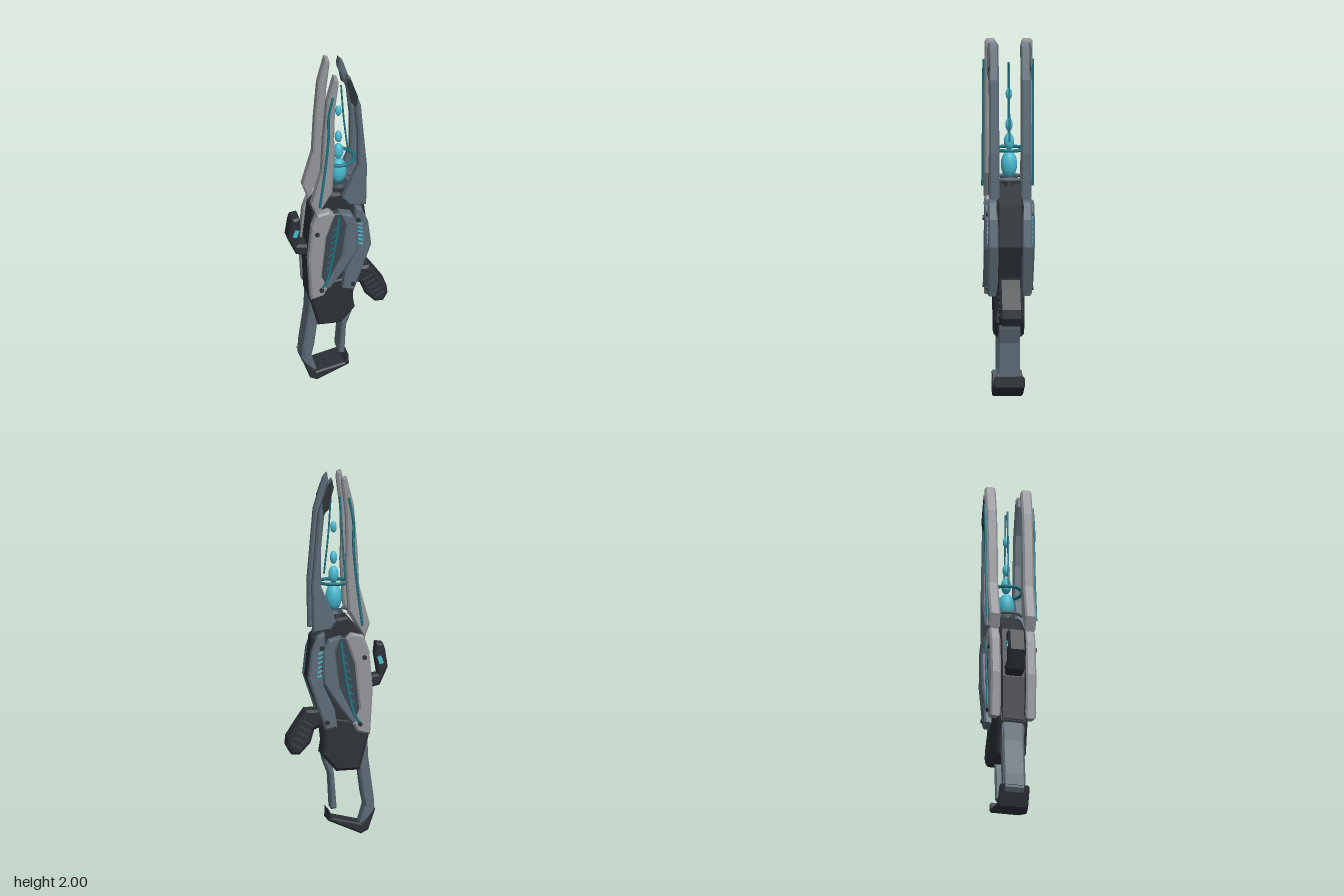
import * as THREE from 'three';

const mat = (name, color) => {
  const m = new THREE.MeshStandardMaterial({ color });
  m.name = name;
  return m;
};

export function createModel() {
  const root = new THREE.Group();
  root.name = 'energyLauncher';
  const pale = mat('paleGrey', 0x92959a), slate = mat('slate', 0x5b6a76), dark = mat('charcoal', 0x2b3036);
  const panel = mat('darkSlate', 0x3b454e), teal = mat('teal', 0x1c7482), cyan = mat('cyan', 0x46b9cf);

  const add = (name, geo, material) => {
    const mesh = new THREE.Mesh(geo, material);
    mesh.name = name;
    root.add(mesh);
    return mesh;
  };
  // Bevelled slab with an xy outline between two depths
  const slab = (name, pts, z0, z1, bevel, material) => {
    const shape = new THREE.Shape(pts.map(p => new THREE.Vector2(p[0], p[1])));
    const geo = new THREE.ExtrudeGeometry(shape, {
      depth: z1 - z0 - 2 * bevel, bevelEnabled: bevel > 0, bevelThickness: bevel,
      bevelSize: bevel, bevelOffset: -bevel, bevelSegments: 1,
    });
    geo.translate(0, 0, z0 + bevel);
    return add(name, geo, material);
  };
  // The same slab on the front and the back
  const pair = (name, pts, z0, z1, bevel, material) => {
    slab(name + 'Front', pts, z0, z1, bevel, material);
    slab(name + 'Back', pts, -z1, -z0, bevel, material);
  };
  const tube = (name, pts, r, material) => {
    const curve = new THREE.CatmullRomCurve3(pts.map(p => new THREE.Vector3(...p)));
    return add(name, new THREE.TubeGeometry(curve, 32, r, 8), material);
  };

  // Core body
  slab('body', [[-.055, 1.21], [.01, 1.2], [.145, 1.1], [.17, .87], [.1, .68], [.08, .5], [.09, .44],
    [.01, .35], [-.12, .355], [-.17, .55], [-.18, .8], [-.15, 1.1]], -.075, .075, .015, dark);
  slab('lowerBody', [[-.165, .62], [.085, .66], [.08, .5], [.09, .44], [.01, .35], [-.12, .355], [-.168, .54]],
    -.083, .083, .015, dark);

  // Four prongs
  pair('palePronge'.slice(0, 9), [[-.04, 2], [-.018, 1.99], [-.014, 1.96], [-.035, 1.79], [-.04, 1.6], [-.035, 1.5],
    [-.05, 1.25], [-.14, 1.1], [-.168, 1.18], [-.11, 1.39], [-.1, 1.6], [-.08, 1.84]], .07, .131, .01, pale);
  pair('slateProng', [[.04, 1.99], [.062, 1.965], [.115, 1.79], [.14, 1.5], [.15, 1.39], [.145, 1.13],
    [.045, 1.145], [.015, 1.19], [.1, 1.39], [.1, 1.6], [.083, 1.78], [.03, 1.93]], .06, .116, .01, slate);
  pair('darkTip', [[.04, 1.985], [.06, 1.96], [.095, 1.86], [.09, 1.79], [.058, 1.82], [.045, 1.89], [.031, 1.94]],
    .112, .12, .001, dark);

  // Armour plates
  pair('paleArmour', [[-.135, 1.11], [-.065, 1.125], [-.035, 1.095], [-.085, .95], [-.11, .7], [-.075, .62],
    [-.1, .575], [-.17, .56], [-.185, .82], [-.165, 1.03]], .07, .128, .01, pale);
  pair('innerPanel', [[-.06, 1.1], [.0, 1.1], [.03, 1.05], [.015, .85], [-.06, .63], [-.12, .64], [-.1, .95]],
    .07, .118, .006, panel);
  pair('slateArmour', [[.08, 1.13], [.12, 1.11], [.155, 1.02], [.172, .87], [.115, .7], [.075, .585],
    [.01, .6], [.025, .7], [.085, .83], [.1, .95], [.08, 1.02]], .065, .122, .01, slate);
  pair('middleArmour', [[-.01, 1.11], [.06, 1.09], [.095, 1.02], [.09, .85], [.02, .74], [-.07, .62],
    [-.09, .64], [.0, .82], [.025, 1.02]], .07, .138, .01, slate);

  // Details repeated on both faces
  for (const s of [1, -1]) {
    tube('prongCable', [[-.05, 1.885, s * .134], [-.075, 1.75, s * .136], [-.075, 1.63, s * .136],
      [-.09, 1.45, s * .136], [-.125, 1.17, s * .137]], .0075, teal);
    tube('armourCable', [[-.01, 1.08, s * .119], [-.025, .95, s * .121], [-.055, .78, s * .121],
      [-.08, .68, s * .128], [-.115, .62, s * .129]], .007, teal);
    for (const [x, y, z] of [[-.138, .99, .13], [.097, 1.045, .124], [.067, .63, .124], [-.113, .62, .132]]) {
      const bolt = add('bolt', new THREE.CylinderGeometry(.013, .013, .012, 12), dark);
      bolt.rotation.x = Math.PI / 2;
      bolt.position.set(x, y, s * z);
    }
    for (let i = 0; i < 6; i++) {
      const light = add('ventLight', new THREE.BoxGeometry(.028, .009, .008), cyan);
      light.position.set(.105 + .001 * i, 1.02 - i * .026, s * .122);
      light.rotation.z = -.4;
    }
    for (let i = 0; i < 7; i++) {
      const rib = add('panelRib', new THREE.BoxGeometry(.026, .008, .006), teal);
      rib.position.set(-.032 - i * .007, 1.0 - i * .042, s * .118);
      rib.rotation.z = .6;
    }
    for (let i = 0; i < 5; i++) {
      const rib = add('gripRib', new THREE.BoxGeometry(.06, .007, .006), panel);
      rib.position.set(.165 + i * .016, .62 - i * .031, s * .065);
      rib.rotation.z = .5;
    }
    const sight = add('sightLight', new THREE.BoxGeometry(.024, .045, .008), cyan);
    sight.position.set(-.238, .96, s * .05);
    sight.rotation.z = -.35;
  }

  // Pistol grip and side bracket
  slab('grip', [[.1, .69], [.175, .69], [.21, .64], [.275, .54], [.28, .49], [.255, .445], [.21, .445], [.15, .51],
    [.13, .58], [.09, .6]], -.065, .065, .014, dark);
  slab('sideBracket', [[-.255, 1.05], [-.215, 1.055], [-.208, .99], [-.225, .88], [-.16, .87], [-.16, .8],
    [-.235, .82], [-.28, .92], [-.265, 1.02]], -.05, .05, .012, dark);

  // Open stock
  slab('stockStrut', [[-.165, .53], [-.11, .42], [-.135, .22], [-.15, .15], [-.12, .05], [-.16, .04], [-.205, .12],
    [-.2, .2], [-.17, .42]], -.063, .063, .012, slate);
  slab('stockInnerStrut', [[.085, .45], [.075, .4], [.045, .32], [.035, .135], [.005, .14], [.02, .33], [.035, .42]],
    -.06, .06, .008, slate);
  slab('stockFoot', [[-.205, .135], [-.16, .08], [-.13, .055], [.03, .09], [.052, .135], [.055, .075],
    [-.125, 0], [-.165, .02]], -.085, .085, .008, dark);

  // Energy chamber: crystals, rings and rods
  const cx = .015;
  for (const [y, r, h] of [[1.31, .045, .077], [1.435, .028, .048], [1.53, .02, .036], [1.7, .018, .032]]) {
    const crystal = add('crystal', new THREE.SphereGeometry(1, 24, 16), cyan);
    crystal.scale.set(r, h, r);
    crystal.position.set(cx, y, 0);
  }
  const ring = (name, y, radius, thick, arc, start, material) => {
    const geo = new THREE.TorusGeometry(radius, thick, 8, 48, arc);
    geo.rotateZ(start);
    geo.rotateX(Math.PI / 2);
    add(name, geo, material).position.set(cx, y, 0);
  };
  ring('upperRing', 1.395, .088, .0095, Math.PI * 2, 0, teal);
  for (const start of [-.9, Math.PI - .9]) ring('lowerArc', 1.235, .094, .01, 1.8, start, slate);
  const base = add('crystalBase', new THREE.CylinderGeometry(.045, .055, .02, 24), panel);
  base.position.set(cx, 1.232, 0);
  const post = add('basePost', new THREE.CylinderGeometry(.03, .04, .06, 16), dark);
  post.position.set(cx - .02, 1.2, 0);
  tube('leftRod', [[-.02, 1.87, 0], [-.03, 1.7, 0], [-.05, 1.4, 0]], .005, teal);
  tube('rightRod', [[.03, 1.87, 0], [.045, 1.65, 0], [.068, 1.44, 0]], .005, teal);
  return root;
}
